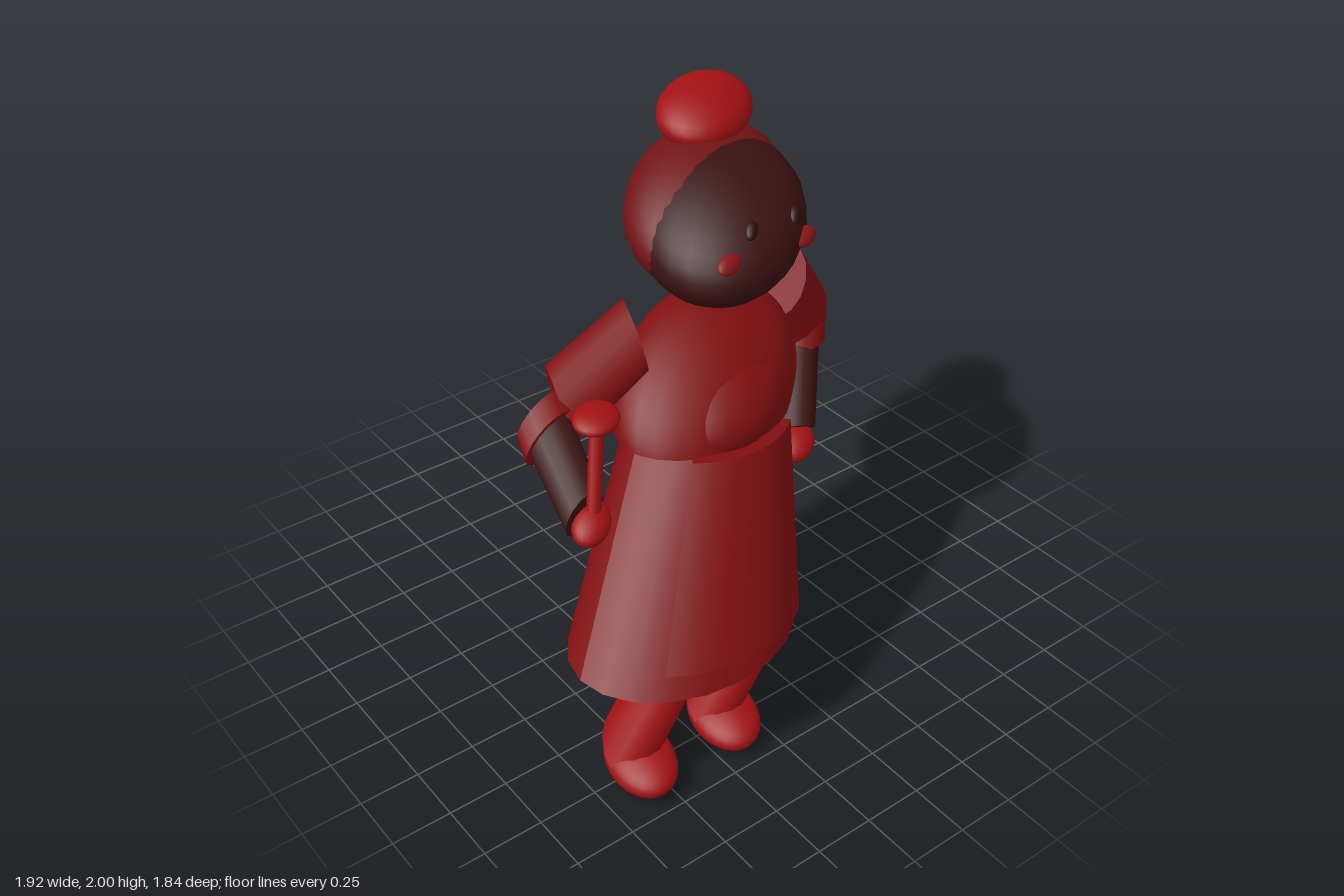
import * as THREE from 'three';

// The whole figure leans: every horizontal slice slides by LEAN per unit of height.
const LEAN = -0.705, BASE_X = 0.75, BASE_Z = 0.632;
const shear = new THREE.Matrix4().set(
  1, LEAN, 0, BASE_X,
  0, 1, 0, 0,
  0, LEAN, 1, BASE_Z,
  0, 0, 0, 1);
const unshear = shear.clone().invert();
const UP = new THREE.Vector3(0, 1, 0);

export function createModel() {
  const group = new THREE.Group();
  group.name = 'leaningFigure';

  const mat = (name, color, side = THREE.FrontSide) => {
    const m = new THREE.MeshStandardMaterial({ color, side });
    m.name = name;
    return m;
  };
  const dress = mat('dress red', 0x7f0e10, THREE.DoubleSide);
  const bright = mat('bright red', 0xa01012);
  const hairRed = mat('hair dark red', 0x701214);
  const skin = mat('dark skin', 0x3a1011);
  const eyeDark = mat('eye dark', 0x2e0c0d);
  const blush = mat('cheek red', 0x8a1416);

  // Shear an upright geometry into the lean and add it
  const add = (name, geo, material) => {
    geo.applyMatrix4(shear);
    const mesh = new THREE.Mesh(geo, material);
    mesh.name = name;
    group.add(mesh);
    return mesh;
  };
  const local = (p) => new THREE.Vector3(...p).applyMatrix4(unshear);

  // Ellipsoid at a position in the leaning frame, optionally cut off below
  const ellipsoid = (name, material, p, r, cut = Math.PI) => {
    const c = local(p);
    const geo = new THREE.SphereGeometry(1, 24, 16, 0, Math.PI * 2, 0, cut);
    geo.scale(...r);
    geo.translate(c.x, c.y, c.z);
    return add(name, geo, material);
  };

  // Round limb between two positions in the leaning frame
  const limb = (name, material, p, q, r0, r1 = r0, sides = 14) => {
    const a = local(p), b = local(q);
    const d = b.clone().sub(a);
    const geo = new THREE.CylinderGeometry(r1, r0, d.length(), sides);
    geo.applyQuaternion(new THREE.Quaternion().setFromUnitVectors(UP, d.normalize()));
    const c = a.add(b).multiplyScalar(0.5);
    geo.translate(c.x, c.y, c.z);
    return add(name, geo, material);
  };

  // Oval frustum (or a sector of one) around the body axis
  const oval = (name, material, y0, y1, bottom, top, start = 0, length = Math.PI * 2) => {
    const geo = new THREE.CylinderGeometry(1, 1, 1, 20, 1, false, start, length);
    const pos = geo.attributes.position;
    for (let i = 0; i < pos.count; i++) {
      const t = pos.getY(i) + 0.5;
      pos.setXYZ(i,
        pos.getX(i) * THREE.MathUtils.lerp(bottom[0], top[0], t),
        THREE.MathUtils.lerp(y0, y1, t),
        pos.getZ(i) * THREE.MathUtils.lerp(bottom[1], top[1], t));
    }
    geo.computeVertexNormals();
    return add(name, geo, material);
  };

  // Feet and legs
  for (const [side, z] of [['right', 0.79], ['left', 0.376]]) {
    ellipsoid(side + 'Foot', bright, [0.765, 0.07, z], [0.185, 0.07, 0.122]);
    limb(side + 'Leg', bright, [0.685, 0.09, z], [0.683, 0.42, z - 0.233], 0.115);
  }

  // Skirt, apron, torso
  oval('skirt', dress, 0.345, 0.97, [0.385, 0.5], [0.295, 0.335]);
  oval('apron', dress, 0.43, 0.98, [0.433, 0.5], [0.357, 0.38], Math.PI / 2 - 0.74, 1.48);
  ellipsoid('torso', dress, [-0.005, 1.07, -0.122], [0.31, 0.3, 0.425], 1.893);
  ellipsoid('chest', dress, [0.14, 1.08, -0.125], [0.195, 0.16, 0.26], 2.25);

  // Head, hair, bun
  ellipsoid('head', skin, [-0.364, 1.58, -0.482], [0.38, 0.25, 0.354]);
  ellipsoid('hair', hairRed, [-0.478, 1.6, -0.496], [0.34, 0.25, 0.37]);
  ellipsoid('bun', bright, [-0.745, 1.885, -0.687], [0.2, 0.115, 0.22]);

  // Face
  for (const [side, s] of [['right', 1], ['left', -1]]) {
    ellipsoid(side + 'Eye', eyeDark, [-0.077, 1.655, -0.53 + s * 0.116], [0.025, 0.03, 0.028]);
    ellipsoid(side + 'Cheek', blush, [-0.035, 1.565, -0.467 + s * 0.2], [0.03, 0.032, 0.058]);
  }

  // Right arm, bent forward
  limb('rightSleeve', dress, [-0.19, 1.29, 0.1], [-0.17, 1.12, 0.5], 0.125, 0.13);
  limb('rightCuff', dress, [-0.16, 1.11, 0.585], [-0.06, 1.065, 0.61], 0.11);
  limb('rightForearm', skin, [-0.1, 1.08, 0.6], [0.29, 0.94, 0.695], 0.09, 0.08);
  ellipsoid('rightHand', bright, [0.335, 0.915, 0.695], [0.07, 0.055, 0.08]);

  // Stick with a flat knob
  limb('stick', bright, [0.33, 0.92, 0.68], [0.18, 1.25, 0.55], 0.03);
  ellipsoid('knob', bright, [0.175, 1.26, 0.55], [0.092, 0.036, 0.095]);

  // Left arm, hanging down
  limb('leftSleeve', dress, [-0.19, 1.29, -0.67], [-0.15, 1.1, -0.76], 0.125, 0.13);
  limb('leftCuff', dress, [-0.11, 1.09, -0.73], [-0.06, 1.03, -0.69], 0.11);
  limb('leftForearm', skin, [-0.09, 1.07, -0.71], [0.2, 0.81, -0.46], 0.09, 0.08);
  ellipsoid('leftHand', bright, [0.24, 0.77, -0.43], [0.07, 0.055, 0.08]);

  return group;
}
